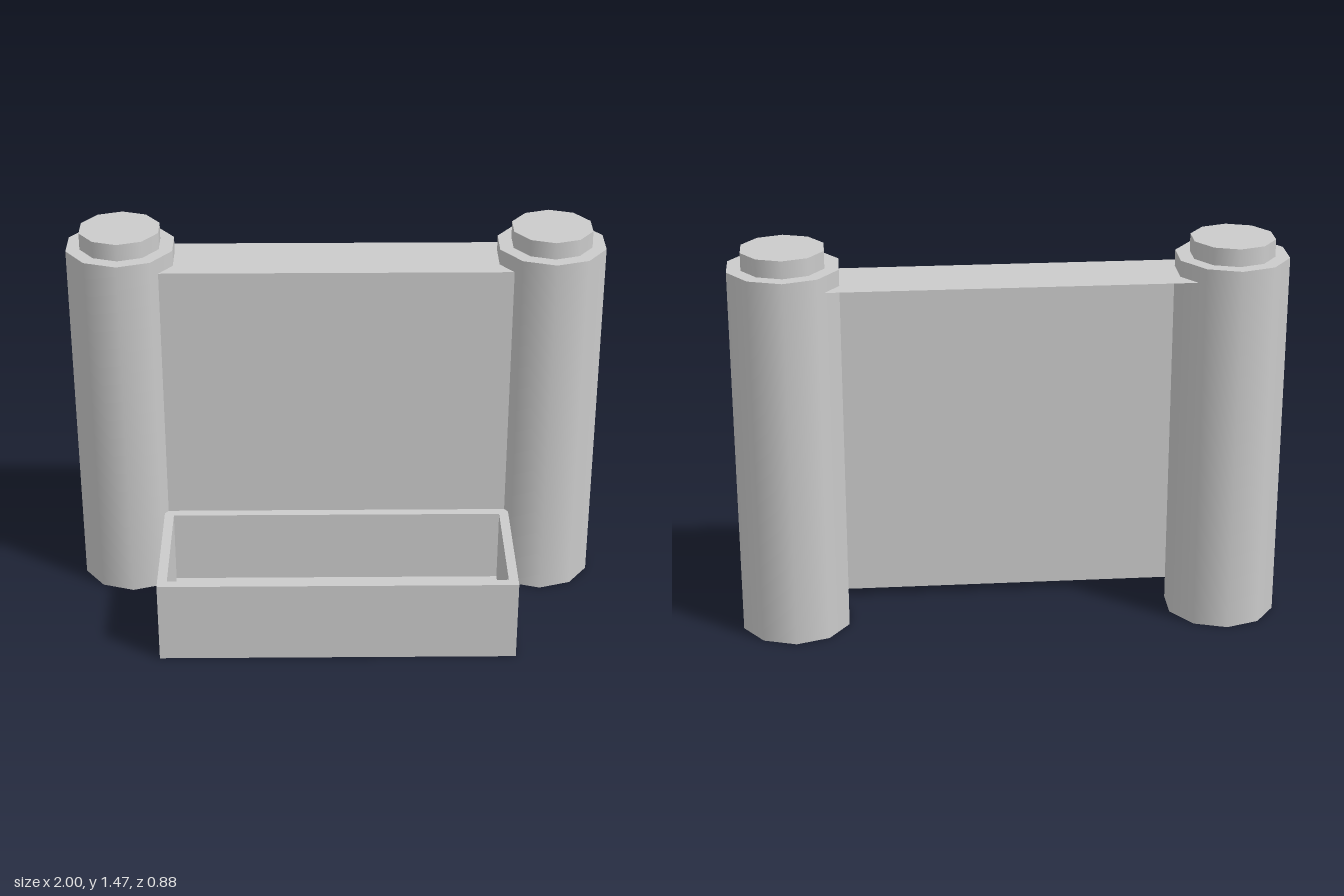
import * as THREE from 'three';
import { mergeGeometries } from 'three/addons/utils/BufferGeometryUtils.js';

const material = new THREE.MeshStandardMaterial({ color: 0xcccccc, side: THREE.DoubleSide });

function addMesh(parent, name, geometry, x = 0, y = 0, z = 0) {
  const mesh = new THREE.Mesh(geometry, material);
  mesh.name = name;
  mesh.position.set(x, y, z);
  parent.add(mesh);
  return mesh;
}

// Thin rectangular sheet, turned about x (tilt) and y (turn)
function addSheet(parent, name, w, h, x, y, z, tilt = 0, turn = 0) {
  addMesh(parent, name, new THREE.PlaneGeometry(w, h), x, y, z).rotation.set(tilt, turn, 0);
}

// Ten-sided stepped profile: sides stay smooth, each step keeps a sharp edge
function steppedColumn(profile) {
  const bands = [];
  for (let i = 0; i < profile.length - 1; i++) {
    const pair = [profile[i], profile[i + 1]].map(([r, y]) => new THREE.Vector2(r, y));
    bands.push(new THREE.LatheGeometry(pair, 10));
  }
  return mergeGeometries(bands);
}

function rectangle(PathType, w, h) {
  return new PathType().moveTo(-w / 2, -h / 2).lineTo(w / 2, -h / 2)
    .lineTo(w / 2, h / 2).lineTo(-w / 2, h / 2).closePath();
}

export function createModel() {
  const model = new THREE.Group();
  model.name = 'planterWithColumns';

  // Columns, open underneath, each with a smaller cap
  const columnGeometry = steppedColumn([
    [0.207, 0], [0.207, 1.4], [0.154, 1.4], [0.154, 1.465], [0, 1.465],
  ]);
  addMesh(model, 'leftColumn', columnGeometry, 0.803, 0, -0.233);
  addMesh(model, 'rightColumn', columnGeometry, -0.803, 0, -0.233);

  // Upright panel and the ledge running back from its top edge
  const backZ = -0.1, rimY = 0.32, panelTop = 1.34;
  addSheet(model, 'panel', 1.34, panelTop - rimY, 0, (panelTop + rimY) / 2, backZ);
  addSheet(model, 'topLedge', 1.34, 0.27, 0, panelTop, backZ - 0.135, -Math.PI / 2);

  // Planter trough: outer skin open at the back, rim and inner liner
  const planter = new THREE.Group();
  planter.name = 'planter';
  planter.position.z = 0.17;
  model.add(planter);
  const W = 1.34, D = 0.54, w = 1.268, d = 0.468, floorY = 0.03;
  const linerH = rimY - floorY, linerY = (rimY + floorY) / 2;

  const rim = rectangle(THREE.Shape, W, D);
  rim.holes.push(rectangle(THREE.Path, w, d));
  addMesh(planter, 'rim', new THREE.ShapeGeometry(rim), 0, rimY, 0).rotation.x = -Math.PI / 2;

  addSheet(planter, 'outerFront', W, rimY, 0, rimY / 2, D / 2);
  addSheet(planter, 'innerFront', w, linerH, 0, linerY, d / 2, 0, Math.PI);
  addSheet(planter, 'innerBack', w, linerH, 0, linerY, -d / 2);
  addSheet(planter, 'floor', w, d, 0, floorY, 0, -Math.PI / 2);
  for (const [side, s] of [['Left', 1], ['Right', -1]]) {
    addSheet(planter, 'outer' + side, D, rimY, s * W / 2, rimY / 2, 0, 0, s * Math.PI / 2);
    addSheet(planter, 'inner' + side, d, linerH, s * w / 2, linerY, 0, 0, -s * Math.PI / 2);
  }

  return model;
}
